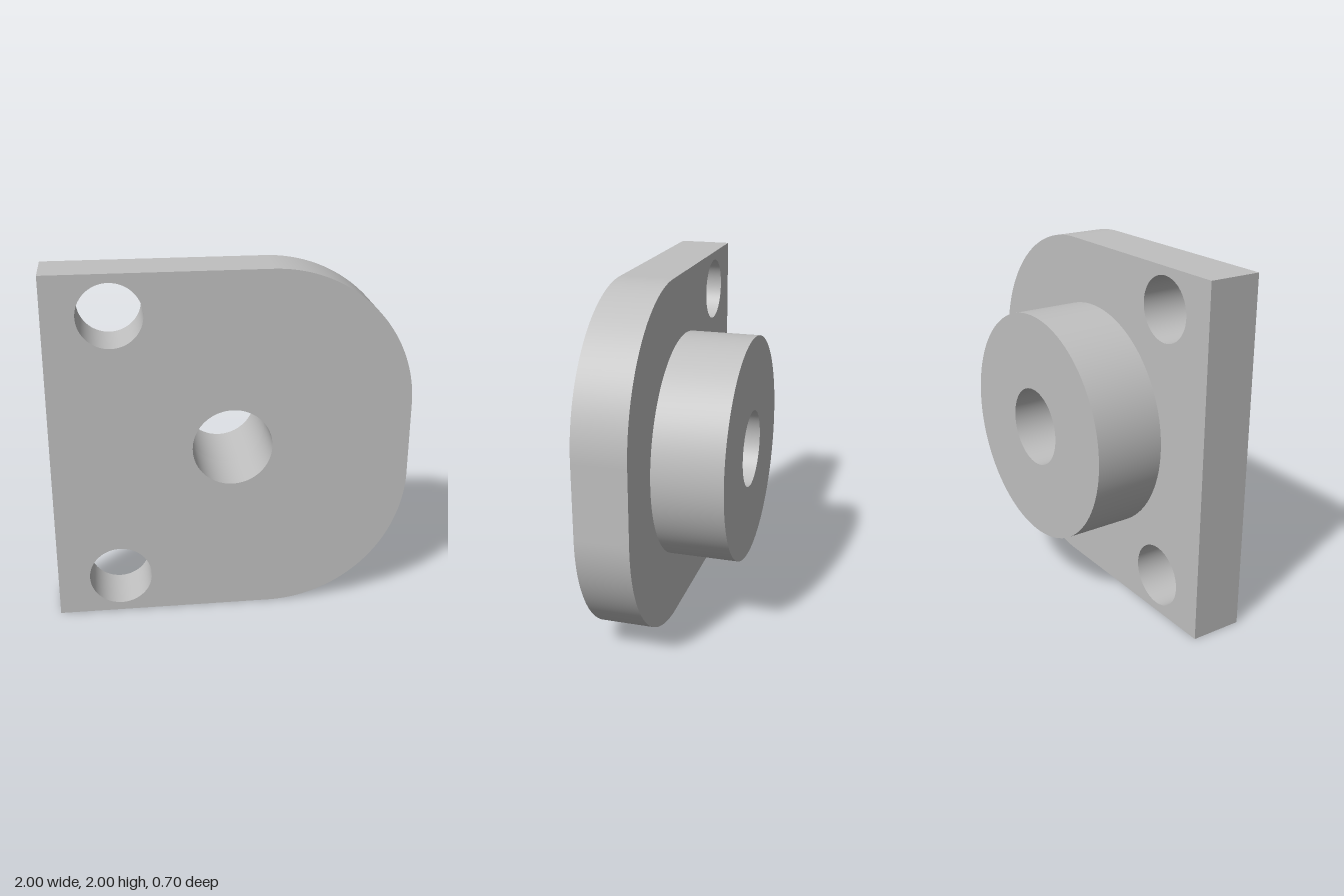
import * as THREE from 'three';
import { toCreasedNormals } from 'three/addons/utils/BufferGeometryUtils.js';

const BORE = 0.222;

function circle(Type, x, y, r) {
  const path = new Type();
  path.absarc(x, y, r, 0, Math.PI * 2, false);
  return path;
}

// Extrude an outline from zBack to zFront, smooth on arcs and sharp at rims
function slab(name, shape, zBack, zFront, material) {
  const geometry = new THREE.ExtrudeGeometry(shape, {
    depth: zFront - zBack, bevelEnabled: false, curveSegments: 48,
  });
  geometry.translate(0, 0, zBack);
  const mesh = new THREE.Mesh(toCreasedNormals(geometry, Math.PI / 6), material);
  mesh.name = name;
  return mesh;
}

export function createModel() {
  const group = new THREE.Group();
  group.name = 'flangedBushing';
  const steel = new THREE.MeshStandardMaterial({ color: 0xc0c0c0 });
  steel.name = 'steel grey';

  // Mounting plate: square on one side, large rounded corners on the other
  const r = 0.79;
  const plate = new THREE.Shape();
  plate.moveTo(-1, -1);
  plate.lineTo(1 - r, -1);
  plate.absarc(1 - r, r - 1, r, -Math.PI / 2, 0, false);
  plate.lineTo(1, 1 - r);
  plate.absarc(1 - r, 1 - r, r, 0, Math.PI / 2, false);
  plate.lineTo(-1, 1);
  plate.closePath();

  // Centre bore and two bolt holes
  plate.holes.push(circle(THREE.Path, 0, 0, BORE));
  for (const side of [-1, 1]) {
    plate.holes.push(circle(THREE.Path, -0.645, side * 0.775, 0.177));
  }
  group.add(slab('mountingPlate', plate, 0.05, 0.35, steel));

  // Round boss on the back, sharing the centre bore
  const boss = circle(THREE.Shape, 0, 0, 0.65);
  boss.holes.push(circle(THREE.Path, 0, 0, BORE));
  group.add(slab('boss', boss, -0.35, 0.05, steel));

  // Stand the part on the ground
  for (const part of group.children) part.position.y = 1;
  return group;
}
